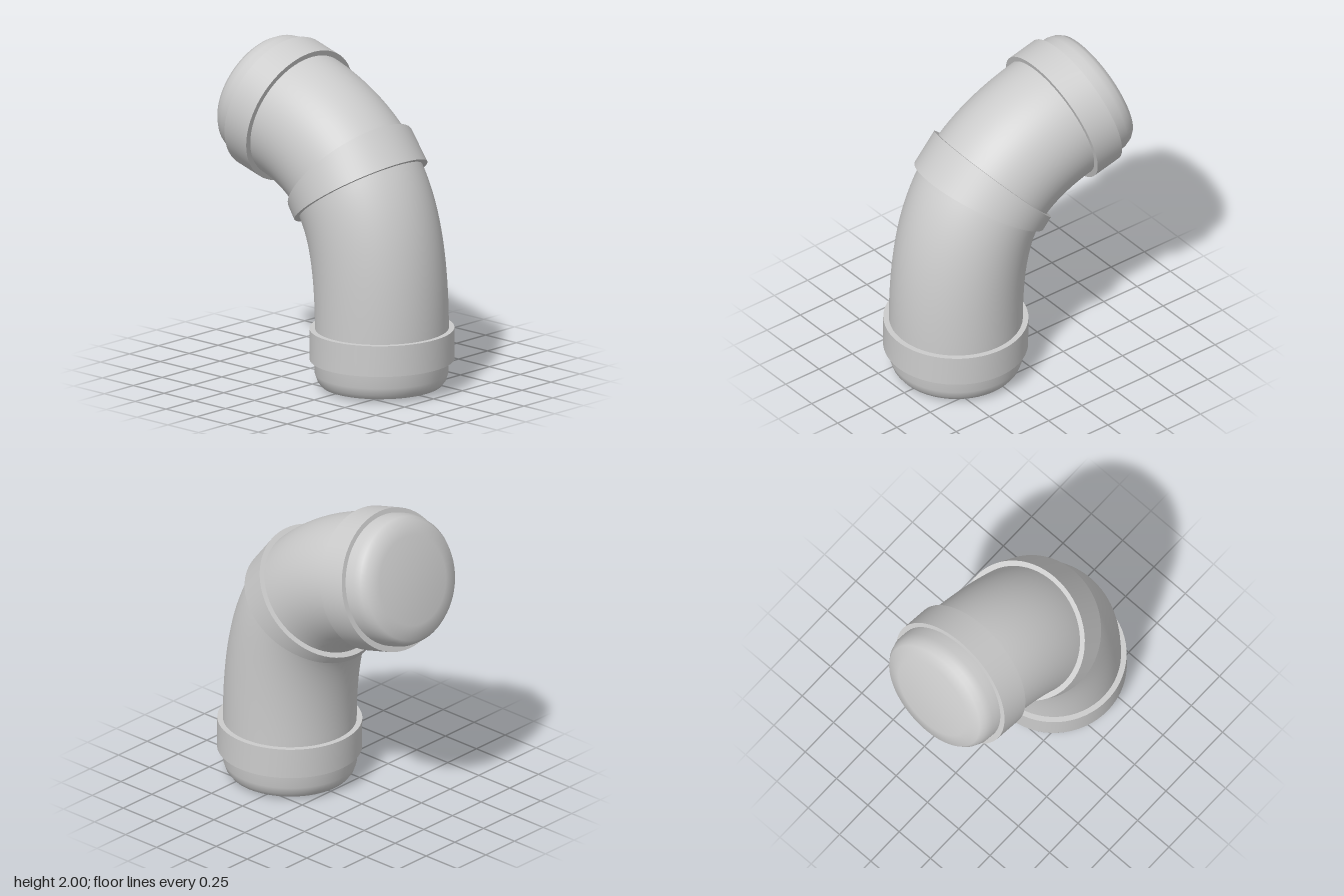
import * as THREE from 'three';
import { toCreasedNormals } from 'three/addons/utils/BufferGeometryUtils.js';

const SIDES = 64;
const PIPE_R = 0.397;
const COLLAR_R = 0.43;
const material = new THREE.MeshStandardMaterial({ color: 0xcccccc });
const v = (x, y, z) => new THREE.Vector3(x, y, z);

// Skin a series of circular sections, each { center, normal, radius }, in order along the pipe
function skin(name, rings) {
  const positions = [];
  const indices = [];
  for (const { center, normal, radius } of rings) {
    const n = normal.clone().normalize();
    const side = v(0, 0, 1).addScaledVector(n, -n.z).normalize();
    const up = n.clone().cross(side);
    for (let i = 0; i < SIDES; i++) {
      const a = (i / SIDES) * Math.PI * 2;
      const p = center.clone()
        .addScaledVector(side, Math.cos(a) * radius)
        .addScaledVector(up, Math.sin(a) * radius);
      positions.push(p.x, p.y, p.z);
    }
  }
  for (let r = 0; r < rings.length - 1; r++) {
    for (let i = 0; i < SIDES; i++) {
      const a = r * SIDES + i;
      const b = r * SIDES + (i + 1) % SIDES;
      const c = a + SIDES;
      const d = b + SIDES;
      if (rings[r].radius > 0) indices.push(a, b, d);
      if (rings[r + 1].radius > 0) indices.push(a, d, c);
    }
  }
  const geometry = new THREE.BufferGeometry();
  geometry.setAttribute('position', new THREE.Float32BufferAttribute(positions, 3));
  geometry.setIndex(indices);
  const mesh = new THREE.Mesh(toCreasedNormals(geometry, 1.0), material);
  mesh.name = name;
  return mesh;
}

// Curved pipe between two section planes
function bend(name, start, startDir, startReach, end, endDir, endReach) {
  const curve = new THREE.CubicBezierCurve3(
    start,
    start.clone().addScaledVector(startDir, startReach),
    end.clone().addScaledVector(endDir, -endReach),
    end,
  );
  const rings = [];
  for (let i = 0; i <= 24; i++) {
    const t = i / 24;
    rings.push({ center: curve.getPoint(t), normal: curve.getTangent(t), radius: PIPE_R });
  }
  return skin(name, rings);
}

// Raised band with flat end faces; its two planes may differ to make a wedge
function collar(name, start, startDir, end, endDir) {
  return skin(name, [
    { center: start, normal: startDir, radius: 0.37 },
    { center: start, normal: startDir, radius: COLLAR_R },
    { center: end, normal: endDir, radius: COLLAR_R },
    { center: end, normal: endDir, radius: 0.37 },
  ]);
}

// Closed end with a rounded rim, running from the tip back into the collar
function endCap(name, tip, inward, depth) {
  const profile = [[0, 0], [0.27, 0.003], [0.36, 0.022], [0.382, 0.05], [PIPE_R, 0.095], [PIPE_R, depth]];
  const rings = profile.map(([radius, along]) => ({
    center: tip.clone().addScaledVector(inward, along), normal: inward, radius,
  }));
  return skin(name, rings);
}

export function createModel() {
  const group = new THREE.Group();
  group.name = 'pipeElbow';

  // Section directions: bottom end, both faces of the middle wedge, top end
  const bottomDir = v(-0.01, 1, 0).normalize();
  const wedgeLowDir = v(-0.56, 0.83, -0.015).normalize();
  const wedgeHighDir = v(-0.73, 0.683, -0.03).normalize();
  const topDir = v(-0.96, 0.28, -0.03).normalize();

  // Section centres along the pipe
  const bottomTip = v(0.347, 0.004, 0.018);
  const bottomLow = v(0.35, 0.182, 0.018);
  const bottomHigh = v(0.348, 0.37, 0.018);
  const wedgeLow = v(0.175, 1.18, 0.016);
  const wedgeHigh = v(0.08, 1.30, 0.008);
  const topLow = v(-0.35, 1.537, -0.012);
  const topHigh = v(-0.53, 1.587, -0.016);
  const topTip = v(-0.685, 1.636, -0.022);

  group.add(
    endCap('bottomEndCap', bottomTip, bottomDir, 0.25),
    collar('bottomCollar', bottomLow, bottomDir, bottomHigh, bottomDir),
    bend('lowerBend', bottomHigh, bottomDir, 0.38, wedgeLow, wedgeLowDir, 0.21),
    collar('middleCollar', wedgeLow, wedgeLowDir, wedgeHigh, wedgeHighDir),
    bend('upperBend', wedgeHigh, wedgeHighDir, 0.165, topLow, topDir, 0.165),
    collar('topCollar', topLow, topDir, topHigh, topDir),
  );

  // The top cap is the same cap turned to face out of the upper end
  group.add(endCap('topEndCap', topTip, topDir.clone().negate(), 0.25));
  return group;
}
